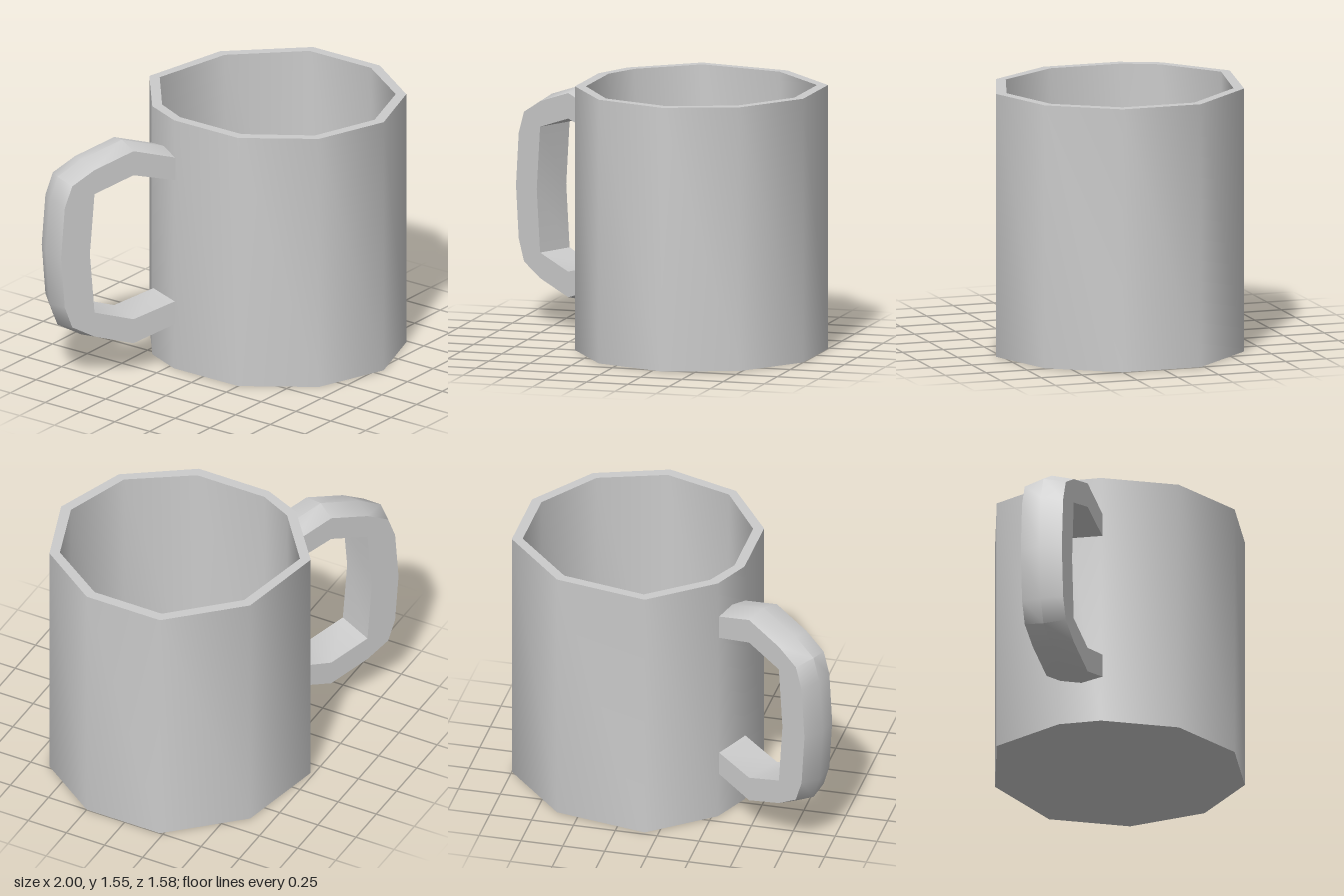
import * as THREE from 'three';
import { toCreasedNormals } from 'three/addons/utils/BufferGeometryUtils.js';

const HEIGHT = 1.55, FLOOR = 0.06;

// Uneven ten-sided outlines of the cup, as [x, z]
const OUTER = [[0.08, -0.73], [0.63, -0.625], [1, -0.23], [1, 0.25], [0.735, 0.635],
  [0.31, 0.785], [-0.12, 0.635], [-0.385, 0.25], [-0.385, -0.21], [-0.285, -0.44]];
const INNER = [[0.1, -0.67], [0.6, -0.57], [0.94, -0.21], [0.94, 0.23], [0.7, 0.585],
  [0.31, 0.72], [-0.09, 0.585], [-0.325, 0.23], [-0.325, -0.21], [-0.23, -0.41]];

const toPoints = (list) => list.map(([x, z]) => new THREE.Vector2(x, -z));

function upright(shape, depth) {
  const g = new THREE.ExtrudeGeometry(shape, { depth, bevelEnabled: false });
  g.rotateX(-Math.PI / 2);
  return toCreasedNormals(g, 1.1);
}

// Upper half of the handle, from the cup outwards: [outer x, outer y, inner x, inner y]
const HALF = [
  [-0.36, 1.31, -0.36, 1.17], [-0.61, 1.4, -0.61, 1.25], [-0.82, 1.32, -0.82, 1.17],
  [-0.94, 1.24, -0.82, 1.17], [-0.98, 1.11, -0.82, 1.17], [-1, 0.8, -0.845, 0.8],
];

function handleGeometry() {
  const mid = 0.8;
  const mirrored = HALF.slice(0, -1).reverse()
    .map(([ox, oy, ix, iy]) => [ox, 2 * mid - oy, ix, 2 * mid - iy]);
  // Place a profile point on the slanted handle plane; t runs front (0) to back (1)
  const place = (x, y, t) => [x + 0.11 * t, y, -0.21 + 0.6 * (x + 0.4) - 0.22 * t];
  // Five-cornered section: the outer side bulges along its middle
  const rings = [...HALF, ...mirrored].map(([ox, oy, ix, iy]) => [
    place(ox, oy, 0),
    place(-0.4 + (ox + 0.4) * 1.05, mid + (oy - mid) * 1.05, 0.5),
    place(ox, oy, 1),
    place(ix, iy, 1),
    place(ix, iy, 0),
  ]);
  const pos = [];
  const same = (p, q) => p.every((v, k) => v === q[k]);
  const tri = (p, q, r) => {
    if (!same(p, q) && !same(q, r) && !same(p, r)) pos.push(...p, ...q, ...r);
  };
  for (let i = 0; i < rings.length - 1; i++) {
    for (let j = 0; j < 5; j++) {
      const k = (j + 1) % 5;
      const a = rings[i][j], b = rings[i][k], c = rings[i + 1][j], d = rings[i + 1][k];
      tri(a, b, c);
      tri(b, d, c);
    }
  }
  const g = new THREE.BufferGeometry();
  g.setAttribute('position', new THREE.Float32BufferAttribute(pos, 3));
  return toCreasedNormals(g, 0.78);
}

export function createModel() {
  const group = new THREE.Group();
  group.name = 'mug';
  const material = new THREE.MeshStandardMaterial({ color: 0xcccccc });
  const add = (name, geometry) => {
    const mesh = new THREE.Mesh(geometry, material);
    mesh.name = name;
    group.add(mesh);
  };

  // Hollow wall with a flat rim; the hole runs the opposite way so its faces look inwards
  const wall = new THREE.Shape(toPoints(OUTER));
  wall.holes.push(new THREE.Path(toPoints(INNER).reverse()));
  add('cupWall', upright(wall, HEIGHT));

  // Floor fitted inside the wall
  add('cupFloor', upright(new THREE.Shape(toPoints(INNER)), FLOOR));

  add('handle', handleGeometry());
  return group;
}
